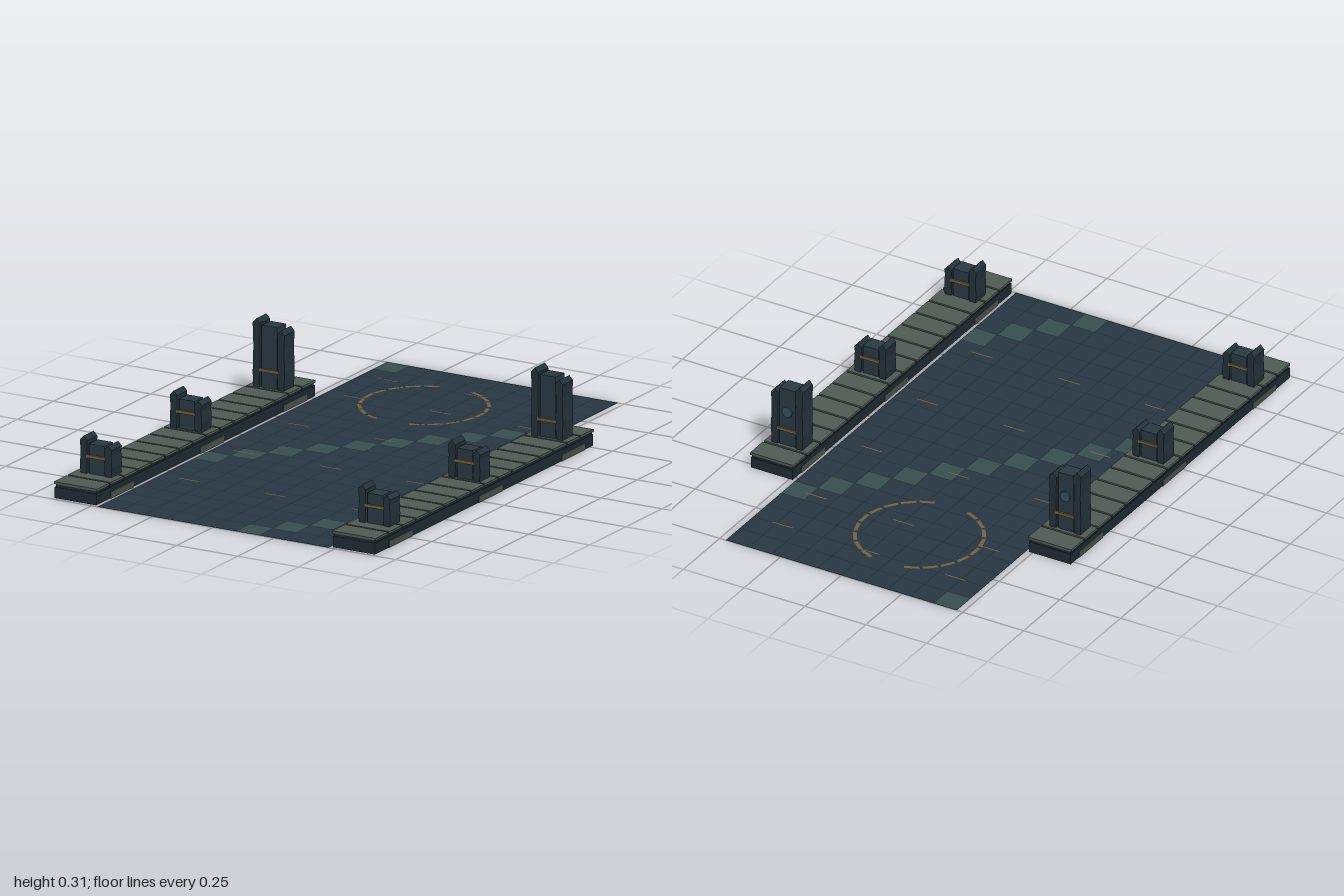
import * as THREE from 'three';

const mat = (color, side = THREE.FrontSide) => {
  const m = new THREE.MeshStandardMaterial({ color });
  m.side = side;
  return m;
};
const M = {
  grout: mat(0x1c2a33, THREE.DoubleSide),
  tile: mat(0x273742),
  paleTile: mat(0x385050),
  plank: mat(0x505b55),
  base: mat(0x1e2c34),
  panel: mat(0x2a3a43),
  blade: mat(0x23323a),
  gold: mat(0x75603f),
  foot: mat(0x4a524d),
  gem: mat(0x34505e),
};

function box(parent, name, material, w, h, d, x, y, z) {
  const mesh = new THREE.Mesh(new THREE.BoxGeometry(w, h, d), material);
  mesh.name = name;
  mesh.position.set(x, y, z);
  parent.add(mesh);
  return mesh;
}

// Flat piece lying on the floor
function flat(parent, name, material, w, d, x, y, z, turn = 0) {
  const mesh = new THREE.Mesh(new THREE.PlaneGeometry(w, d).rotateX(-Math.PI / 2), material);
  mesh.name = name;
  mesh.position.set(x, y, z);
  mesh.rotation.y = turn;
  parent.add(mesh);
}

function createFloor() {
  const floor = new THREE.Group();
  floor.name = 'tiledFloor';
  const cols = 10, rows = 21, w = 0.095, d = 2 / rows;
  flat(floor, 'floorSheet', M.grout, 0.95, 2, 0, 0.0005, 0);
  // Tiles, with pale ones along diagonals
  for (let r = 0; r < rows; r++) {
    for (let c = 0; c < cols; c++) {
      const pale = (c + r) % 13 === 0;
      flat(floor, pale ? 'paleTile' : 'floorTile', pale ? M.paleTile : M.tile, w - 0.003, d - 0.003,
        (c - 4.5) * w, 0.0015, -1 + (r + 0.5) * d);
    }
  }
  // Inlaid dashes
  for (const z of [-0.81, -0.576, -0.195, 0.185, 0.565]) {
    for (const x of [-0.357, -0.003, 0.355]) flat(floor, 'inlayDash', M.gold, 0.084, 0.005, x, 0.0025, z);
  }
  // Broken ring, open at the front and back
  for (const side of [-1, 1]) {
    for (let i = 0; i < 9; i++) {
      const a = THREE.MathUtils.degToRad(24 + i * 16.5);
      flat(floor, 'ringDash', M.gold, 0.014, 0.055,
        -0.095 + side * Math.sin(a) * 0.228, 0.0025, -0.62 - Math.cos(a) * 0.228,
        side * (Math.PI / 2 - a));
    }
  }
  return floor;
}

// Pointed upright slab: slightly uneven profile extruded front to back
function blade(parent, x, height, lean) {
  const s = new THREE.Shape();
  s.moveTo(-0.012, 0);
  s.lineTo(0.012, 0);
  s.lineTo(0.015, height * 0.3);
  s.lineTo(0.013 + lean, height * 0.7);
  s.lineTo(0.015, height - 0.016);
  s.lineTo(0, height);
  s.lineTo(-0.015, height - 0.016);
  s.lineTo(-0.013 + lean, height * 0.6);
  s.lineTo(-0.015, height * 0.2);
  const geo = new THREE.ExtrudeGeometry(s, { depth: 0.07, bevelEnabled: false }).translate(0, 0, -0.035);
  const mesh = new THREE.Mesh(geo, M.blade);
  mesh.name = 'sideBlade';
  mesh.position.x = x;
  parent.add(mesh);
}

function createPillar(tall) {
  const pillar = new THREE.Group();
  pillar.name = tall ? 'tallPillar' : 'shortPillar';
  const panelH = tall ? 0.231 : 0.112;
  box(pillar, 'pillarPanel', M.panel, 0.064, panelH, 0.06, 0, panelH / 2, 0);
  blade(pillar, -0.051, tall ? 0.254 : 0.14, 0.001);
  blade(pillar, 0.05, tall ? 0.224 : 0.118, -0.001);
  // Metal bands front and back
  for (const s of [-1, 1]) box(pillar, 'metalBand', M.gold, 0.078, 0.011, 0.006, 0, 0.067, s * 0.035);
  if (tall) {
    // Round boss on the back
    const gem = new THREE.Mesh(new THREE.CylinderGeometry(0.02, 0.02, 0.008, 16).rotateX(Math.PI / 2), M.gem);
    gem.name = 'backBoss';
    gem.position.set(0, 0.14, -0.032);
    pillar.add(gem);
  }
  return pillar;
}

function createTerrace(side) {
  const terrace = new THREE.Group();
  terrace.name = side > 0 ? 'leftTerrace' : 'rightTerrace';
  const x = side * 0.572, zBack = -0.525, count = 16, pitch = 1.517 / count;
  box(terrace, 'terraceBase', M.base, 0.172, 0.041, 1.51, x, 0.0215, 0.234);
  box(terrace, 'terraceNeck', M.base, 0.164, 0.011, 1.505, x, 0.0475, 0.234);
  // Top slabs with narrow gaps
  for (let i = 0; i < count; i++) {
    box(terrace, 'topSlab', M.plank, 0.177, 0.009, pitch - 0.008, x, 0.0565, zBack + (i + 0.5) * pitch);
  }
  // Pillars, each over a pale foot block
  for (const z of [-0.382, 0.191, 0.812]) {
    box(terrace, 'footBlock', M.foot, 0.176, 0.025, 0.16, x, 0.0125, z);
    const pillar = createPillar(z < 0);
    pillar.position.set(x, 0.059, z);
    terrace.add(pillar);
  }
  return terrace;
}

export function createModel() {
  const model = new THREE.Group();
  model.name = 'ceremonialCourt';
  model.add(createFloor(), createTerrace(-1), createTerrace(1));
  return model;
}
